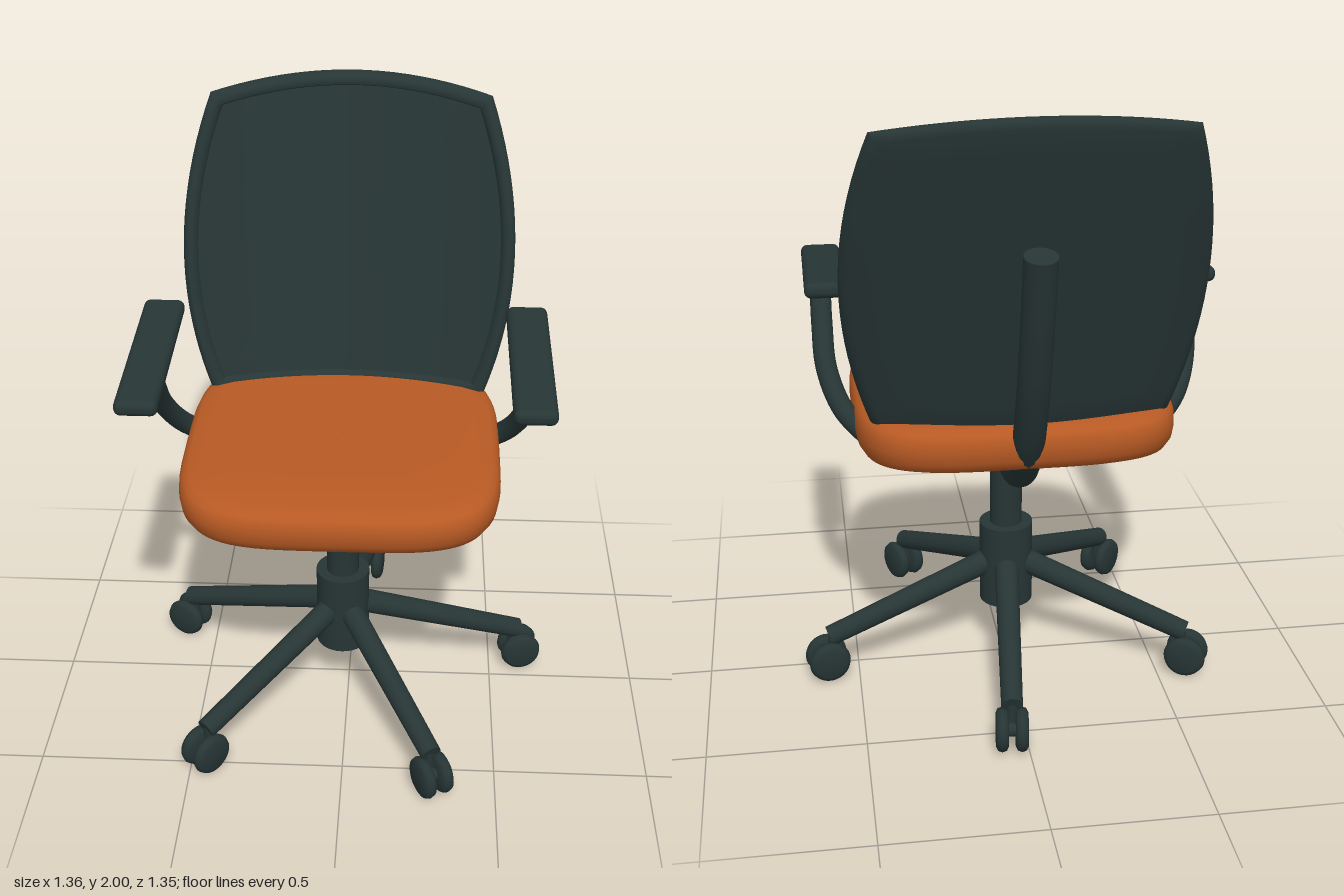
import * as THREE from 'three';
import { toCreasedNormals } from 'three/addons/utils/BufferGeometryUtils.js';
import { RoundedBoxGeometry } from 'three/addons/geometries/RoundedBoxGeometry.js';

const CX = -0.02, CZ = 0.045; // axis of the column

// Skin a stack of closed rings, each an array of [x, y, z]
function skin(rings, crease) {
  const n = rings[0].length, index = [];
  for (let i = 0; i < rings.length - 1; i++) {
    for (let j = 0; j < n; j++) {
      const a = i * n + j, b = i * n + (j + 1) % n;
      index.push(a, a + n, b, b, a + n, b + n);
    }
  }
  const geometry = new THREE.BufferGeometry();
  geometry.setAttribute('position', new THREE.Float32BufferAttribute(rings.flat(2), 3));
  geometry.setIndex(index);
  return toCreasedNormals(geometry, crease);
}

// Seat cushion: superellipse rings from the underside to the top
function seatGeometry() {
  const profile = [[0.001, 0.855], [0.5, 0.855], [0.9, 0.855], [0.96, 0.868], [0.99, 0.895], [1, 0.93],
    [0.995, 0.97], [0.975, 0.992], [0.94, 1.003], [0.85, 1.01], [0.5, 1.01], [0.001, 1.01]];
  const power = (v) => Math.sign(v) * Math.sqrt(Math.abs(v));
  return skin(profile.map(([s, y]) => {
    const ring = [];
    for (let j = 0; j < 72; j++) {
      const a = j / 72 * Math.PI * 2;
      const x = power(Math.cos(a)) * s, z = power(Math.sin(a)) * s;
      const lift = y > 0.95 ? -0.012 * z : Math.max(0, -z - 0.5) * 0.04;
      ring.push([CX + x * 0.51, y + lift, 0.04 + z * 0.49]);
    }
    return ring;
  }), 0.7);
}

// Backrest: curved, reclined panel with a raised rim in one closed skin
function backrestGeometry() {
  const halfWidth = (y) => 0.55 - 0.09 * ((y - 1.47) / 0.48) ** 2;
  const outline = [], N = 20, low = 0.99, high = 1.95;
  for (let i = 0; i < N; i++) {
    const y = low + (high - low) * i / N;
    outline.push([halfWidth(y), y]);
  }
  for (let i = 0; i < N; i++) {
    const t = 1 - 2 * i / N;
    outline.push([t * halfWidth(high), high + 0.05 * (1 - t * t)]);
  }
  for (let i = 0; i < N; i++) {
    const y = high - (high - low) * i / N;
    outline.push([-halfWidth(y), y]);
  }
  for (let i = 0; i < N; i++) outline.push([(2 * i / N - 1) * halfWidth(low), low]);

  // Scale of the outline, depth behind the front face
  const profile = [[0.001, 0.02], [0.3, 0.02], [0.6, 0.02], [0.8, 0.02], [0.915, 0.02], [0.925, 0.006],
    [0.945, 0], [0.97, 0.003], [0.99, 0.015], [1, 0.03], [0.99, 0.045], [0.97, 0.056], [0.94, 0.06],
    [0.8, 0.06], [0.6, 0.06], [0.3, 0.06], [0.001, 0.06]];
  return skin(profile.map(([s, depth]) => outline.map(([px, py]) => {
    const x = px * s, y = 1.47 + (py - 1.47) * s;
    const z = -0.24 - 0.28 * (y - 1) - 0.09 * (1 - (x / 0.47) ** 2) - depth;
    return [CX + x, y, z];
  })), 0.75);
}

export function createModel() {
  const chair = new THREE.Group();
  chair.name = 'officeChair';
  const dark = new THREE.MeshStandardMaterial({ color: 0x273535 });
  dark.name = 'darkPlastic';
  const orange = new THREE.MeshStandardMaterial({ color: 0xb85a24 });
  orange.name = 'orangeFabric';

  function add(name, geometry, material = dark, parent = chair, x = 0, y = 0, z = 0) {
    const mesh = new THREE.Mesh(geometry, material);
    mesh.name = name;
    mesh.position.set(x, y, z);
    parent.add(mesh);
    return mesh;
  }

  // Round bar along a smooth path with flat ends
  function bar(name, points, radius, parent = chair) {
    const curve = new THREE.CatmullRomCurve3(points.map((p) => new THREE.Vector3(...p)));
    add(name, new THREE.TubeGeometry(curve, 40, radius, 20), dark, parent);
    for (const t of [0, 1]) {
      const cap = add(name + 'Cap', new THREE.CircleGeometry(radius, 20), dark, parent);
      const direction = curve.getTangent(t).multiplyScalar(t ? 1 : -1);
      cap.position.copy(curve.getPoint(t));
      cap.quaternion.setFromUnitVectors(new THREE.Vector3(0, 0, 1), direction);
    }
  }

  // Seat and back
  add('seat', seatGeometry(), orange);
  add('backrest', backrestGeometry());
  bar('backSupport', [[CX, 0.79, 0.02], [CX, 0.768, -0.15], [CX, 0.81, -0.28], [CX, 0.93, -0.4],
    [CX, 1.13, -0.495], [CX, 1.35, -0.56], [CX, 1.61, -0.62]], 0.05);

  // Column
  add('tiltMechanism', new THREE.CylinderGeometry(0.182, 0.182, 0.11, 40), dark, chair, CX, 0.812, 0.016);
  add('gasLift', new THREE.CylinderGeometry(0.054, 0.054, 0.36, 28), dark, chair, CX, 0.62, CZ);
  add('hub', new THREE.CylinderGeometry(0.09, 0.09, 0.29, 32), dark, chair, CX, 0.335, CZ);

  // Five legs, each with a twin-wheel caster
  const wheelProfile = [[0, -0.02], [0.052, -0.02], [0.065, -0.014], [0.07, 0], [0.065, 0.014],
    [0.052, 0.02], [0, 0.02]].map(([r, h]) => new THREE.Vector2(r, h));
  const wheelGeometry = toCreasedNormals(new THREE.LatheGeometry(wheelProfile, 28), 0.9);
  for (let i = 0; i < 5; i++) {
    const leg = new THREE.Group();
    leg.name = 'leg' + (i + 1);
    leg.position.set(CX, 0, CZ);
    leg.rotation.y = THREE.MathUtils.degToRad(11.5 - 72 * i);
    chair.add(leg);
    const run = 0.6, drop = 0.2;
    const beam = add('legBeam', new THREE.CylinderGeometry(0.034, 0.041, Math.hypot(run, drop), 20),
      dark, leg, 0.03 + run / 2, 0.35 - drop / 2, 0);
    beam.rotation.z = -Math.PI / 2 - Math.atan2(drop, run);
    add('legRoot', new THREE.SphereGeometry(0.041, 20, 14), dark, leg, 0.03, 0.35, 0);
    for (const side of [-1, 1]) {
      add('casterWheel', wheelGeometry, dark, leg, 0.637, 0.07, side * 0.031).rotation.x = Math.PI / 2;
    }
    add('casterAxle', new THREE.CylinderGeometry(0.022, 0.022, 0.06, 14), dark, leg, 0.637, 0.07, 0)
      .rotation.x = Math.PI / 2;
    add('casterStem', new THREE.CylinderGeometry(0.018, 0.018, 0.08, 14), dark, leg, 0.615, 0.11, 0);
  }

  // Mirrored armrests
  for (const side of [-1, 1]) {
    const arm = new THREE.Group();
    arm.name = side > 0 ? 'leftArmrest' : 'rightArmrest';
    arm.position.x = CX;
    chair.add(arm);
    const pad = add('armPad', new RoundedBoxGeometry(0.13, 0.05, 0.62, 4, 0.022), dark, arm, side * 0.58, 1.353, 0.183);
    pad.rotation.x = 0.08;
    bar('armTube', [[0.59, 1.33, 0.195], [0.592, 1.2, 0.09], [0.585, 1.08, 0], [0.54, 0.97, -0.08],
      [0.46, 0.89, -0.14]].map(([x, y, z]) => [side * x, y, z]), 0.034, arm);
  }
  return chair;
}
